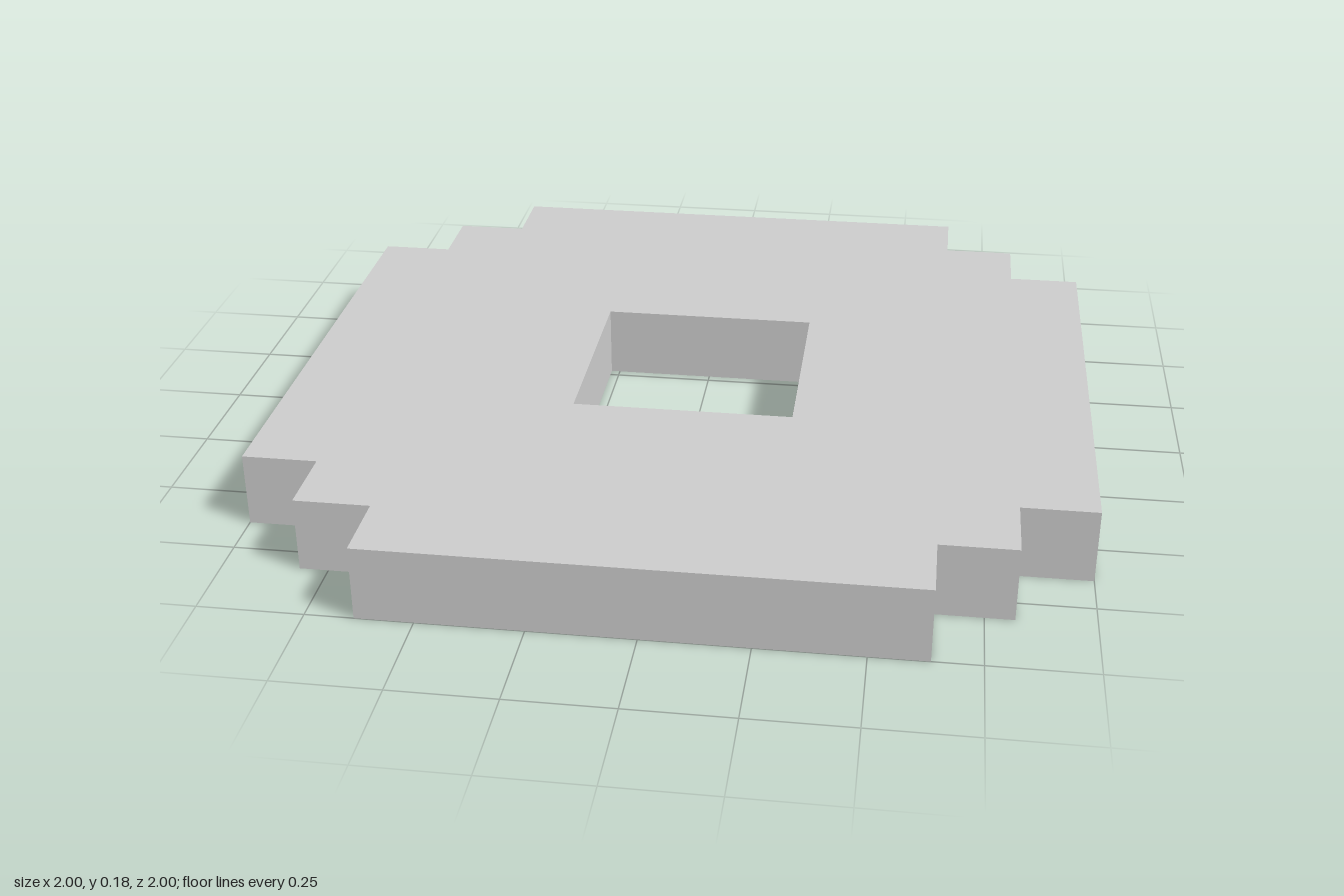
import * as THREE from 'three';

const UNIT = 2 / 11; // the plate lies on an 11 x 11 grid of square cells

export function createModel() {
  const group = new THREE.Group();
  group.name = 'steppedPlate';

  // One stepped corner, turned by quarter turns to give the whole outline
  const corner = [[5.5, 3.5], [4.5, 3.5], [4.5, 4.5], [3.5, 4.5], [3.5, 5.5]];
  const outline = [];
  for (let turn = 0; turn < 4; turn++) {
    for (const [x, y] of corner) {
      const p = new THREE.Vector2(x, y).multiplyScalar(UNIT);
      for (let i = 0; i < turn; i++) p.set(-p.y, p.x);
      outline.push(p);
    }
  }
  const shape = new THREE.Shape(outline);

  // Square hole, three cells wide
  const h = 1.5 * UNIT;
  shape.holes.push(new THREE.Path([[-h, -h], [-h, h], [h, h], [h, -h]].map(([x, y]) => new THREE.Vector2(x, y))));

  // Plate one cell thick, laid flat on the ground
  const geometry = new THREE.ExtrudeGeometry(shape, { depth: UNIT, bevelEnabled: false });
  geometry.rotateX(-Math.PI / 2);
  const plate = new THREE.Mesh(geometry, new THREE.MeshStandardMaterial({ color: 0xcccccc, flatShading: true }));
  plate.name = 'plate';
  group.add(plate);
  return group;
}
